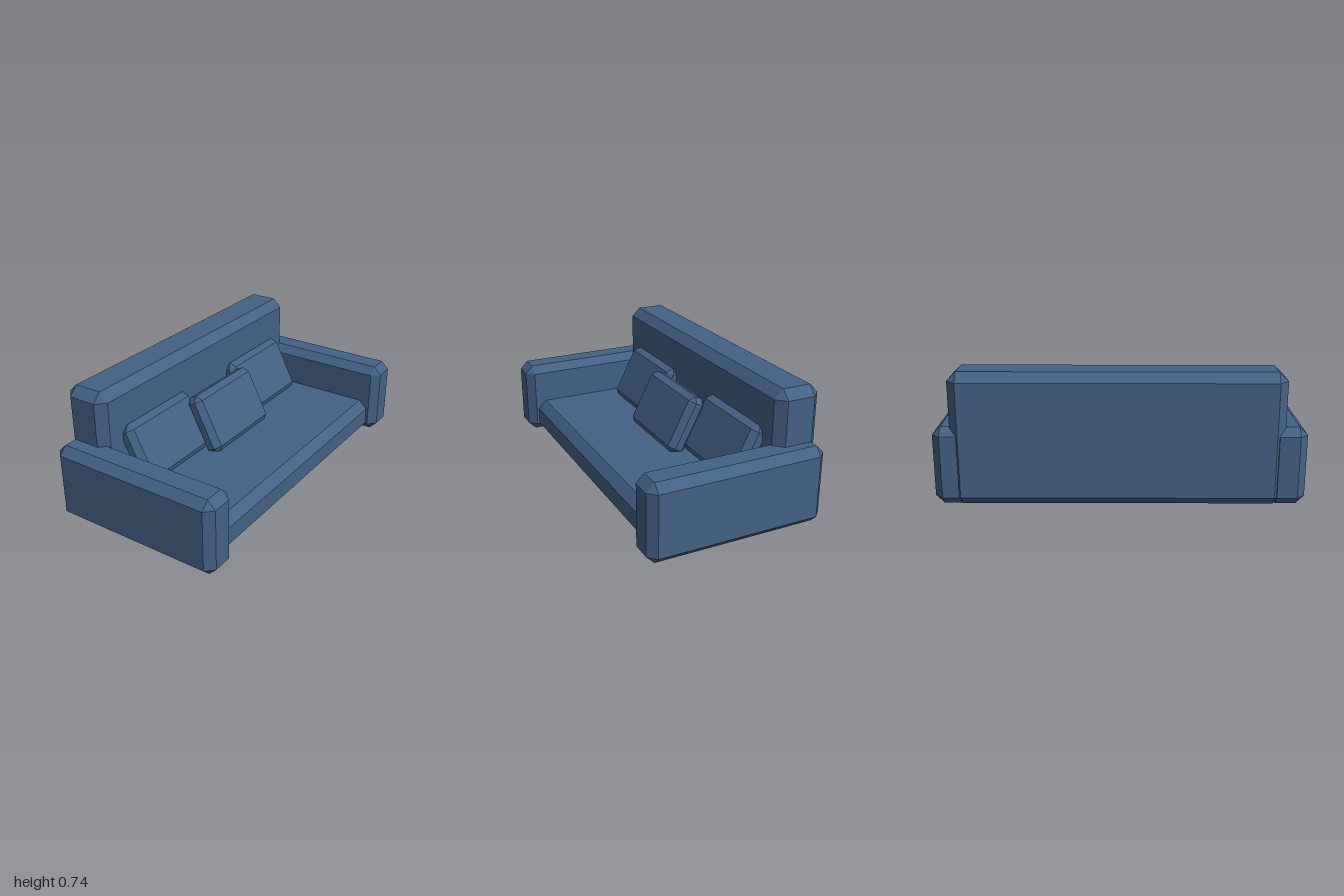
import * as THREE from 'three';

const fabric = new THREE.MeshStandardMaterial({ color: 0x446285, flatShading: true });

// Right-angled profile (counter-clockwise x, y corners) extruded from z0 to z1, every edge chamfered by c
function chamferedPrism(corners, z0, z1, c) {
  const pts = corners.map(([x, y]) => new THREE.Vector2(x, y));
  const n = pts.length;
  const inset = [];
  const outline = [];
  pts.forEach((p, i) => {
    const dirIn = p.clone().sub(pts[(i + n - 1) % n]).normalize();
    const dirOut = pts[(i + 1) % n].clone().sub(p).normalize();
    inset.push(new THREE.Vector2(p.x - c * (dirIn.y + dirOut.y), p.y + c * (dirIn.x + dirOut.x)));
    outline.push(p.clone().addScaledVector(dirIn, -c), p.clone().addScaledVector(dirOut, c));
  });

  const pos = [];
  const at = (p, z) => new THREE.Vector3(p.x, p.y, z);
  const tri = (a, b, d) => {
    if (a.equals(b) || b.equals(d) || a.equals(d)) return;
    for (const v of [a, b, d]) pos.push(v.x, v.y, v.z);
  };

  // Walls and chamfers: end face outline, two full sections, end face outline
  const doubled = inset.flatMap((p) => [p, p]);
  const rings = [[doubled, z0], [outline, z0 + c], [outline, z1 - c], [doubled, z1]]
    .map(([ring, z]) => ring.map((p) => at(p, z)));
  for (let r = 0; r < 3; r++) {
    for (let i = 0; i < 2 * n; i++) {
      const j = (i + 1) % (2 * n);
      const [lo, hi] = [rings[r], rings[r + 1]];
      tri(lo[i], lo[j], hi[j]);
      tri(lo[i], hi[j], hi[i]);
    }
  }

  // End faces
  for (const [a, b, d] of THREE.ShapeUtils.triangulateShape(inset, [])) {
    tri(at(inset[a], z1), at(inset[b], z1), at(inset[d], z1));
    tri(at(inset[a], z0), at(inset[d], z0), at(inset[b], z0));
  }

  const geometry = new THREE.BufferGeometry();
  geometry.setAttribute('position', new THREE.Float32BufferAttribute(pos, 3));
  geometry.computeVertexNormals();
  return geometry;
}

const rect = (x0, y0, x1, y1) => [[x0, y0], [x1, y0], [x1, y1], [x0, y1]];

export function createModel() {
  const sofa = new THREE.Group();
  sofa.name = 'sofa';
  const add = (name, geometry) => {
    const mesh = new THREE.Mesh(geometry, fabric);
    mesh.name = name;
    sofa.add(mesh);
    return mesh;
  };

  // Seat and backrest share one L-shaped profile
  const frame = [[-0.51, 0], [0.445, 0], [0.445, 0.2], [-0.25, 0.2], [-0.25, 0.735], [-0.51, 0.735]];
  add('seatAndBackrest', chamferedPrism(frame, -0.905, 0.88, 0.05));

  // Armrests
  for (const [name, z] of [['armrestFar', -0.9], ['armrestNear', 0.9]]) {
    add(name, chamferedPrism(rect(-0.5, 0, 0.505, 0.435), z - 0.1, z + 0.1, 0.045));
  }

  // Cushions lean back; their origin is the top edge of the front face
  const c = 0.0335;
  const cushion = chamferedPrism(rect(-0.11, -0.286 - c, 0, c), -0.272, 0.272, c);
  for (const [name, x, z] of [
    ['cushionFar', -0.2, -0.498],
    ['cushionMiddle', -0.1, -0.01],
    ['cushionNear', -0.2, 0.463],
  ]) {
    const mesh = add(name, cushion);
    mesh.position.set(x, 0.49, z);
    mesh.rotation.z = 0.471;
  }
  return sofa;
}
